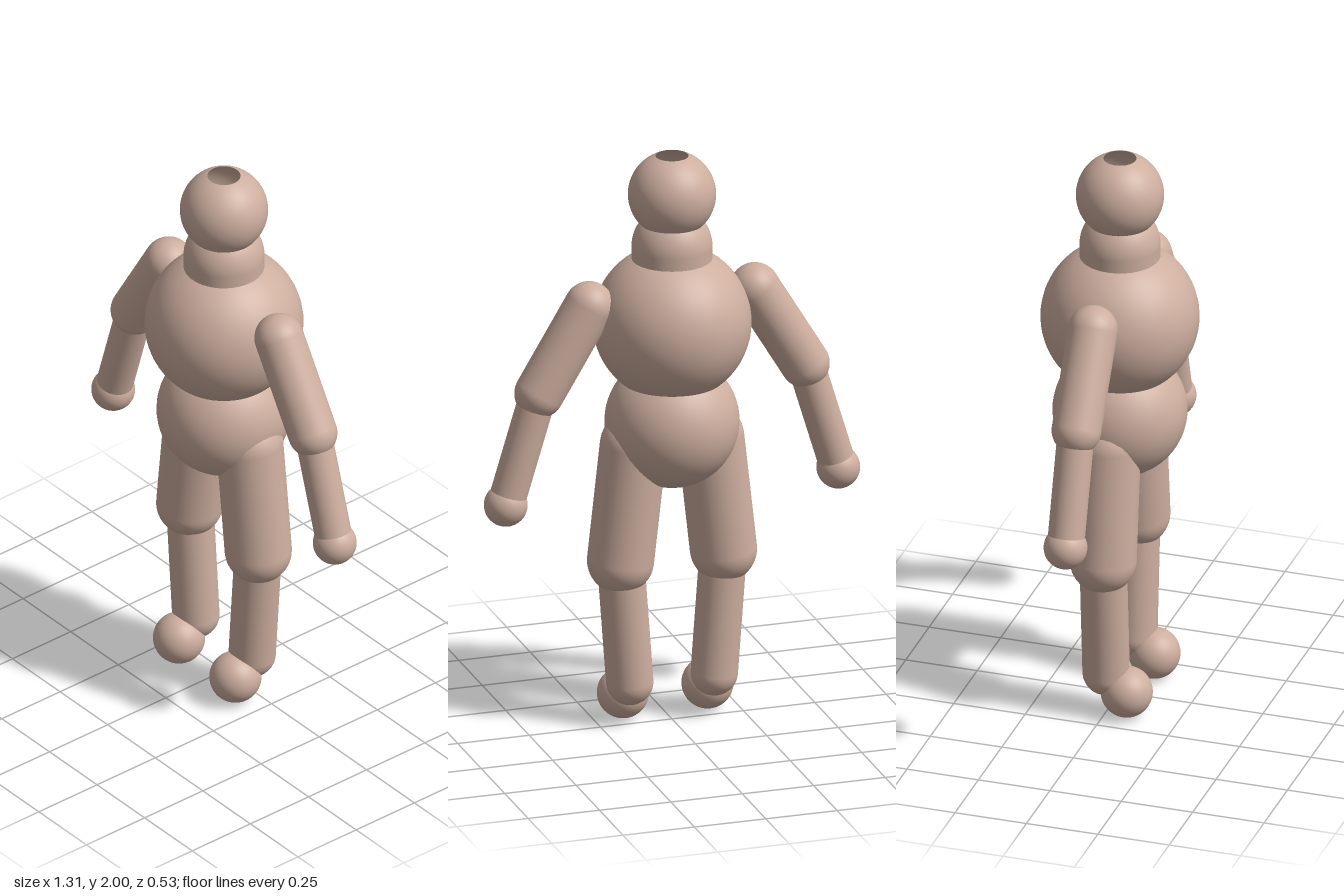
import * as THREE from 'three';

const skin = new THREE.MeshStandardMaterial({ color: 0xcdae9f });
const shell = new THREE.MeshStandardMaterial({ color: 0xcdae9f, side: THREE.DoubleSide });

function ball(name, r, x, y, z = 0) {
  const mesh = new THREE.Mesh(new THREE.SphereGeometry(r, 48, 32), skin);
  mesh.name = name;
  mesh.position.set(x, y, z);
  return mesh;
}

// Round-ended limb whose end centres are a and b
function capsule(name, r, a, b) {
  const start = new THREE.Vector3(...a);
  const dir = new THREE.Vector3(...b).sub(start);
  const length = dir.length();
  const mesh = new THREE.Mesh(new THREE.CapsuleGeometry(r, length, 16, 40), skin);
  mesh.name = name;
  mesh.position.copy(start).addScaledVector(dir, 0.5);
  mesh.quaternion.setFromUnitVectors(new THREE.Vector3(0, 1, 0), dir.normalize());
  return mesh;
}

export function createModel() {
  const model = new THREE.Group();
  model.name = 'figure';

  // Head, open at the crown
  const headR = 0.147;
  const opening = Math.asin(0.055 / headR);
  const head = new THREE.Mesh(
    new THREE.SphereGeometry(headR, 48, 32, 0, Math.PI * 2, opening, Math.PI - opening), shell);
  head.name = 'head';
  head.position.y = 2 - headR * Math.cos(opening);
  model.add(head);

  // Neck and torso
  model.add(
    capsule('neck', 0.135, [0, 1.58, 0], [0, 1.68, 0]),
    ball('chest', 0.265, 0, 1.41),
    ball('pelvis', 0.225, 0, 1.06),
  );

  // Arms and legs, mirrored
  for (const [side, s] of [['left', 1], ['right', -1]]) {
    const arm = new THREE.Group();
    arm.name = side + 'Arm';
    arm.add(
      capsule('upperArm', 0.083, [s * 0.29, 1.5, 0], [s * 0.465, 1.21, 0]),
      capsule('forearm', 0.062, [s * 0.467, 1.21, 0], [s * 0.582, 0.83, 0]),
      ball('hand', 0.073, s * 0.582, 0.828),
    );
    const leg = new THREE.Group();
    leg.name = side + 'Leg';
    leg.add(
      capsule('thigh', 0.112, [s * 0.135, 0.99, 0], [s * 0.18, 0.585, 0]),
      capsule('shin', 0.079, [s * 0.18, 0.585, 0], [s * 0.148, 0.15, 0]),
      ball('foot', 0.087, s * 0.148, 0.087, 0.072),
    );
    model.add(arm, leg);
  }
  return model;
}
